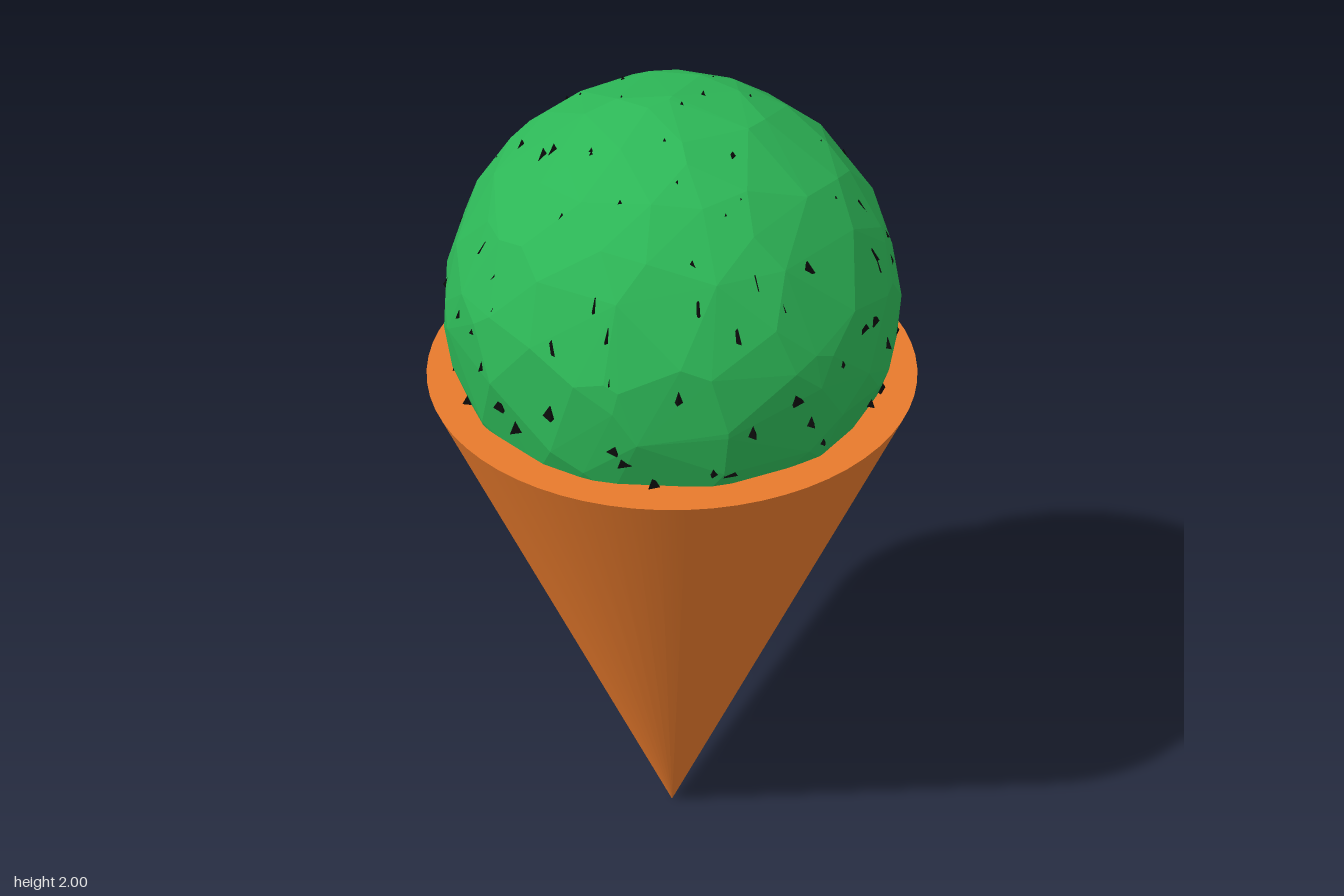
import * as THREE from 'three';
import { ConvexGeometry } from 'three/addons/geometries/ConvexGeometry.js';
import { mergeGeometries } from 'three/addons/utils/BufferGeometryUtils.js';

const CONE_HEIGHT = 1.34;
const CONE_RADIUS = 0.545;
const SCOOP_RADIUS = 0.5;
const SCOOP_Y = 1.5;

// Small seeded generator for repeatable scatter
function seeded(seed) {
  return () => {
    seed = (seed * 16807) % 2147483647;
    return seed / 2147483647;
  };
}

// Evenly spread directions on a sphere, loosened by a jitter
function scatter(count, jitter, random) {
  const points = [];
  for (let i = 0; i < count; i++) {
    const y = 1 - (2 * i + 1) / count;
    const r = Math.sqrt(1 - y * y);
    const a = i * Math.PI * (3 - Math.sqrt(5));
    const offset = new THREE.Vector3(random() - 0.5, random() - 0.5, random() - 0.5);
    points.push(new THREE.Vector3(r * Math.cos(a), y, r * Math.sin(a))
      .addScaledVector(offset, jitter).normalize());
  }
  return points;
}

export function createModel() {
  const model = new THREE.Group();
  model.name = 'iceCream';

  const add = (name, geometry, color, flatShading = false) => {
    const mesh = new THREE.Mesh(geometry, new THREE.MeshStandardMaterial({ color, flatShading }));
    mesh.name = name;
    model.add(mesh);
    return mesh;
  };

  // Smooth wafer cone, point down, closed at the rim
  const wafer = new THREE.CylinderGeometry(CONE_RADIUS, 0, CONE_HEIGHT, 64);
  add('waferCone', wafer.translate(0, CONE_HEIGHT / 2, 0), 0xe87a2c);

  // Faceted scoop: hull of irregular points on a sphere
  const random = seeded(4711);
  const hull = scatter(210, 0.22, random).map((p) => p.multiplyScalar(SCOOP_RADIUS));
  hull.push(new THREE.Vector3(0, SCOOP_RADIUS, 0));
  add('scoop', new ConvexGeometry(hull), 0x2db757, true).position.y = SCOOP_Y;

  // Chocolate chips: tiny three-sided pyramids, upright, turned at random
  const chips = scatter(170, 0.3, random).map((p) => {
    const chip = new THREE.ConeGeometry(0.018, 0.03, 3);
    chip.rotateY(random() * Math.PI * 2);
    p.multiplyScalar(SCOOP_RADIUS - 0.012);
    return chip.translate(p.x, p.y, p.z);
  });
  add('chocolateChips', mergeGeometries(chips), 0x0a0a0a, true).position.y = SCOOP_Y;

  return model;
}
